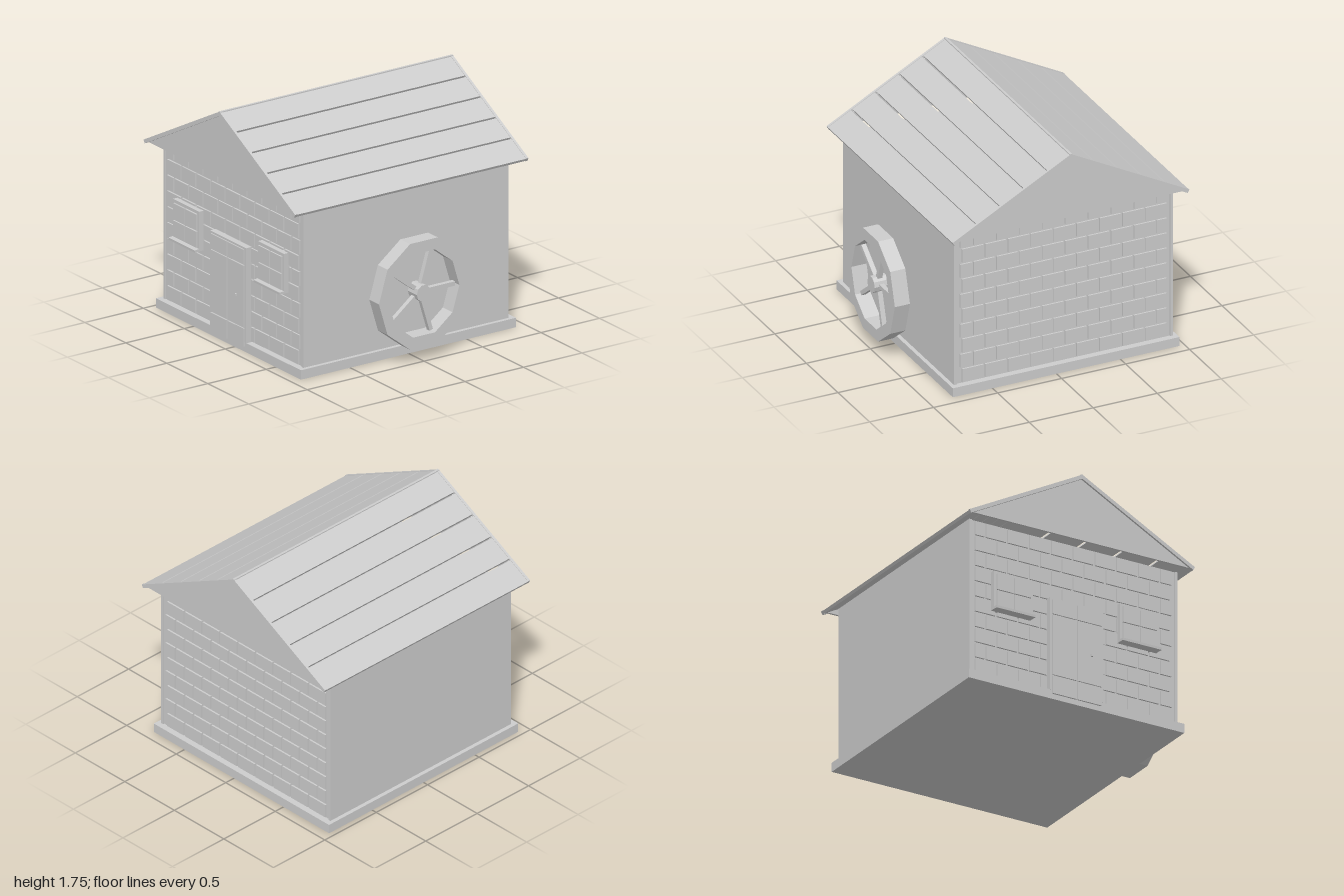
import * as THREE from 'three';

export function createModel() {
  const model = new THREE.Group();
  model.name = 'waterMill';
  const grey = new THREE.MeshStandardMaterial({ color: 0xcccccc });
  grey.name = 'plain grey';

  // The house sits left of centre to leave room for the wheel
  const house = new THREE.Group();
  house.name = 'house';
  house.position.x = -0.075;
  model.add(house);

  const add = (parent, name, geometry) => {
    const mesh = new THREE.Mesh(geometry, grey);
    mesh.name = name;
    parent.add(mesh);
    return mesh;
  };
  // Box given by its lower and upper corners
  const box = (parent, name, x0, x1, y0, y1, z0, z1) => {
    const mesh = add(parent, name, new THREE.BoxGeometry(x1 - x0, y1 - y0, z1 - z0));
    mesh.position.set((x0 + x1) / 2, (y0 + y1) / 2, (z0 + z1) / 2);
    return mesh;
  };

  // Foundation, wall core and smooth side walls
  box(house, 'foundation', -0.885, 0.885, 0, 0.07, -0.92, 0.92);
  box(house, 'wallCore', -0.834, 0.834, 0.07, 1.25, -0.868, 0.868);
  for (const s of [-1, 1]) {
    const x = s * 0.8445;
    box(house, 'sideWall', x - 0.0105, x + 0.0105, 0.07, 1.25, -0.878, 0.878);
  }

  // Staggered brick courses on the front and back walls
  const rows = 10, rowHeight = 0.118, half = 0.806, brick = 0.179, gap = 0.014;
  for (const s of [-1, 1]) {
    const wall = new THREE.Group();
    wall.name = s > 0 ? 'frontBricks' : 'backBricks';
    house.add(wall);
    for (let r = 0; r < rows; r++) {
      const y = 0.07 + r * rowHeight;
      const start = -half - (r % 2) * brick / 2;
      for (let x = start; x < half - 0.02; x += brick) {
        box(wall, 'brick', Math.max(x, -half), Math.min(x + brick - gap, half),
          y + gap / 2, y + rowHeight - gap / 2, s > 0 ? 0.866 : -0.881, s > 0 ? 0.881 : -0.866);
      }
    }
  }

  // Grid of thin raised panels
  const panels = (parent, name, xs, ys, z0, z1, g = 0.008) => {
    for (let i = 0; i < xs.length - 1; i++) {
      for (let j = 0; j < ys.length - 1; j++) {
        box(parent, name, xs[i] + g / 2, xs[i + 1] - g / 2, ys[j] + g / 2, ys[j + 1] - g / 2, z0, z1);
      }
    }
  };

  // Door with frame, panels and knob
  const door = new THREE.Group();
  door.name = 'door';
  house.add(door);
  box(door, 'doorFrame', -0.22, 0.22, 0.07, 0.78, 0.86, 0.922);
  panels(door, 'doorPanel', [-0.205, 0, 0.205], [0.036, 0.18, 0.65, 0.769], 0.915, 0.932);
  box(door, 'doorKnob', 0.107, 0.123, 0.397, 0.413, 0.93, 0.945);

  // Windows with four panes and a sill
  for (const s of [-1, 1]) {
    const win = new THREE.Group();
    win.name = s > 0 ? 'leftWindow' : 'rightWindow';
    win.position.x = s * 0.518;
    house.add(win);
    box(win, 'windowFrame', -0.16, 0.16, 0.58, 0.876, 0.86, 0.92);
    panels(win, 'windowPane', [-0.144, 0, 0.144], [0.6, 0.728, 0.857], 0.915, 0.932);
    const sill = box(win, 'windowSill', -0.16, 0.16, 0.579, 0.597, 0.9, 0.957);
    sill.rotation.x = 0.08;
  }

  // Roof: spaced planks on both slopes with barge boards at the ends
  const angle = Math.atan2(0.49, 0.925), length = 1.047, count = 5;
  const step = length / count;
  for (const s of [-1, 1]) {
    const slope = new THREE.Group();
    slope.name = s > 0 ? 'leftRoof' : 'rightRoof';
    slope.position.y = 1.75;
    slope.rotation.z = -s * angle;
    house.add(slope);
    const strip = (name, u0, u1, v0, v1, z0, z1) =>
      box(slope, name, s > 0 ? u0 : -u1, s > 0 ? u1 : -u0, v0, v1, z0, z1);
    for (let i = 0; i < count; i++) {
      strip('roofPlank', i * step + (i ? 0.007 : 0), (i + 1) * step - (i < count - 1 ? 0.007 : 0),
        -0.025, -0.003, -0.978, 0.978);
    }
    strip('frontBargeBoard', 0, length, -0.028, 0, 0.978, 0.998);
    strip('backBargeBoard', 0, length, -0.028, 0, -0.998, -0.978);
  }
  box(house, 'ridge', -0.009, 0.009, 1.73, 1.75, -0.998, 0.998);

  // Thin gable boards under the roof ends
  const triangle = new THREE.Shape([
    new THREE.Vector2(-0.893, 1.25), new THREE.Vector2(0.893, 1.25), new THREE.Vector2(0, 1.723),
  ]);
  for (const z of [0.968, -0.983]) {
    const gable = add(house, 'gable', new THREE.ExtrudeGeometry(triangle, { depth: 0.015, bevelEnabled: false }));
    gable.position.z = z;
  }

  // Ten-sided water wheel, slightly narrower front to back
  const wheel = new THREE.Group();
  wheel.name = 'waterWheel';
  wheel.position.set(0.94, 0.505, 0);
  wheel.rotation.y = Math.PI / 2;
  wheel.scale.x = 0.928;
  model.add(wheel);
  const polygon = (radius, sides) => Array.from({ length: sides }, (_, i) => {
    const a = i / sides * Math.PI * 2;
    return new THREE.Vector2(Math.cos(a) * radius, Math.sin(a) * radius);
  });
  const extrude = (name, shape, depth) => {
    const mesh = add(wheel, name, new THREE.ExtrudeGeometry(shape, { depth, bevelEnabled: false }));
    mesh.position.z = -depth / 2;
  };
  const ring = new THREE.Shape(polygon(0.415, 10));
  ring.holes.push(new THREE.Path(polygon(0.326, 10).reverse()));
  extrude('wheelRim', ring, 0.118);
  extrude('wheelHub', new THREE.Shape(polygon(0.063, 10)), 0.11);
  for (let i = 0; i < 5; i++) {
    const spoke = new THREE.Group();
    spoke.name = 'wheelSpoke';
    spoke.rotation.z = i * Math.PI * 2 / 5;
    box(spoke, 'spokeBar', 0.04, 0.318, -0.016, 0.016, -0.018, 0.018);
    wheel.add(spoke);
  }

  return model;
}
